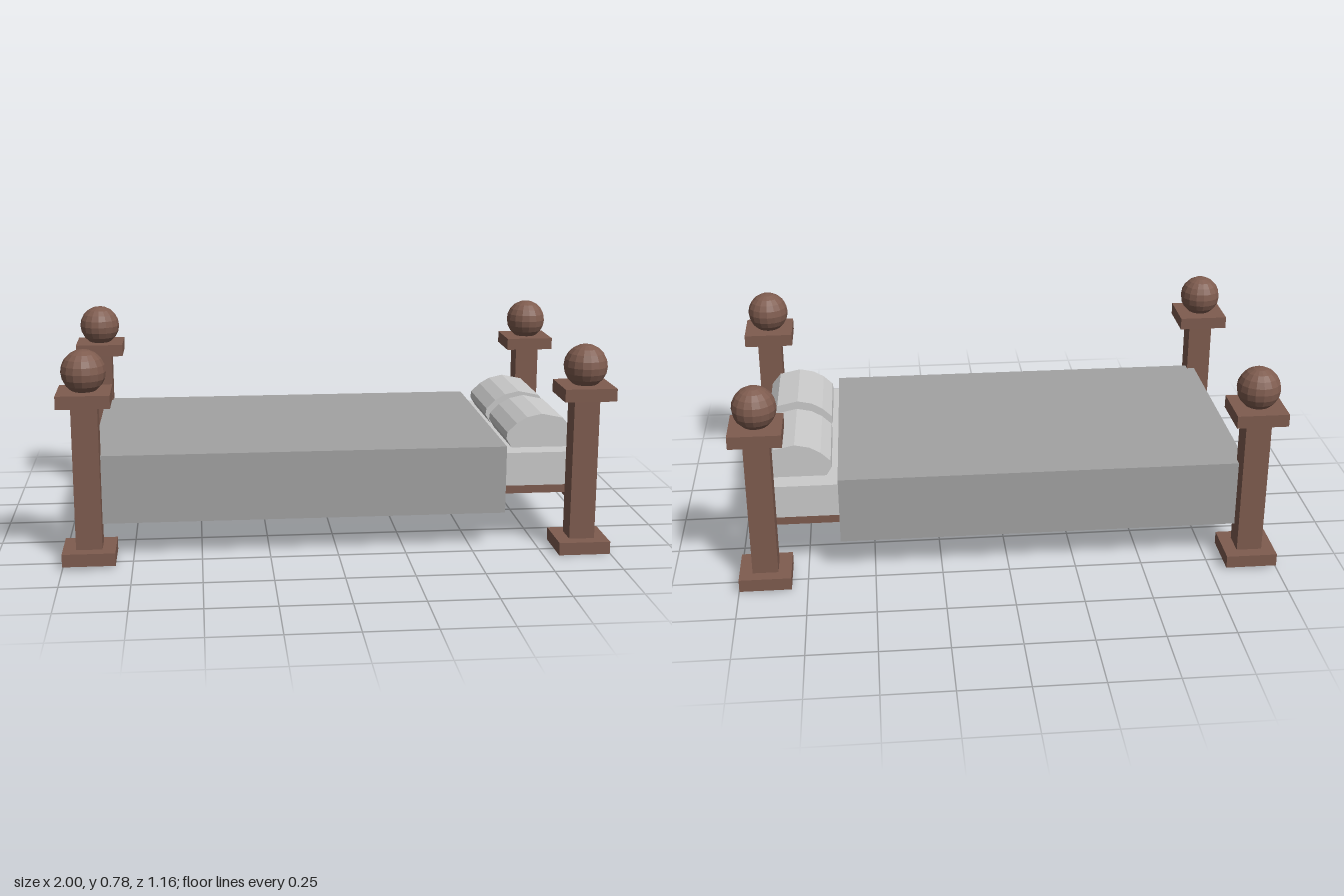
import * as THREE from 'three';

const wood = new THREE.MeshStandardMaterial({ color: 0x7f5c4f, flatShading: true });
const linen = new THREE.MeshStandardMaterial({ color: 0xcccccc, flatShading: true });
const cover = new THREE.MeshStandardMaterial({ color: 0xa3a3a3, flatShading: true });

// Box given by its min and max along each axis
function box(name, material, [x0, x1], [y0, y1], [z0, z1]) {
  const mesh = new THREE.Mesh(new THREE.BoxGeometry(x1 - x0, y1 - y0, z1 - z0), material);
  mesh.position.set((x0 + x1) / 2, (y0 + y1) / 2, (z0 + z1) / 2);
  mesh.name = name;
  return mesh;
}

// Square post with foot, cap and ball finial
function bedPost(name, x, y, z) {
  const post = new THREE.Group();
  post.name = name;
  const foot = [-0.095, 0.095];
  const shaft = [-0.047, 0.047];
  post.add(box('postFoot', wood, foot, [0, 0.047], foot));
  post.add(box('postShaft', wood, shaft, [0.047, 0.577], shaft));
  post.add(box('postCap', wood, foot, [0.577, 0.624], foot));
  const ball = new THREE.Mesh(new THREE.SphereGeometry(0.08, 16, 10), wood);
  ball.name = 'postBall';
  ball.position.y = 0.692;
  post.add(ball);
  post.position.set(x, y, z);
  return post;
}

// Faceted oval profile extruded across the bed
function pillow(name, z0) {
  const profile = [
    [0.68, 0.335], [0.86, 0.335], [0.897, 0.385], [0.895, 0.425], [0.86, 0.467],
    [0.78, 0.484], [0.725, 0.472], [0.685, 0.449], [0.65, 0.415], [0.647, 0.39],
  ].map(([x, y]) => new THREE.Vector2(x, y));
  const geometry = new THREE.ExtrudeGeometry(new THREE.Shape(profile), { depth: 0.323, bevelEnabled: false });
  const mesh = new THREE.Mesh(geometry, linen);
  mesh.position.z = z0;
  mesh.name = name;
  return mesh;
}

export function createModel() {
  const bed = new THREE.Group();
  bed.name = 'bed';

  // Corner posts, each at a slightly different height
  bed.add(bedPost('headPostFront', 0.903, 0, 0.485));
  bed.add(bedPost('headPostBack', 0.903, 0.007, -0.485));
  bed.add(bedPost('footPostFront', -0.905, 0.012, 0.485));
  bed.add(bedPost('footPostBack', -0.905, 0.009, -0.485));

  // Frame
  const width = [-0.437, 0.437];
  bed.add(box('headRail', wood, [0.885, 0.915], [0.153, 0.285], width));
  bed.add(box('footRail', wood, [-0.92, -0.888], [0.153, 0.285], width));
  bed.add(box('bedBase', wood, [-0.888, 0.885], [0.2, 0.23], width));

  // Mattress and pillows
  bed.add(box('mattress', linen, [-0.875, 0.884], [0.23, 0.356], width));
  bed.add(pillow('pillowFront', 0.035));
  bed.add(pillow('pillowBack', -0.358));

  // Blanket folded over both sides
  const outline = [
    [-0.471, 0.136], [-0.44, 0.136], [-0.44, 0.358], [0.44, 0.358],
    [0.44, 0.136], [0.471, 0.136], [0.471, 0.39], [-0.471, 0.39],
  ].map(([z, y]) => new THREE.Vector2(z, y));
  const blanket = new THREE.Mesh(
    new THREE.ExtrudeGeometry(new THREE.Shape(outline), { depth: 1.513, bevelEnabled: false }), cover);
  blanket.rotation.y = Math.PI / 2;
  blanket.position.x = -0.888;
  blanket.name = 'blanket';
  bed.add(blanket);

  return bed;
}
